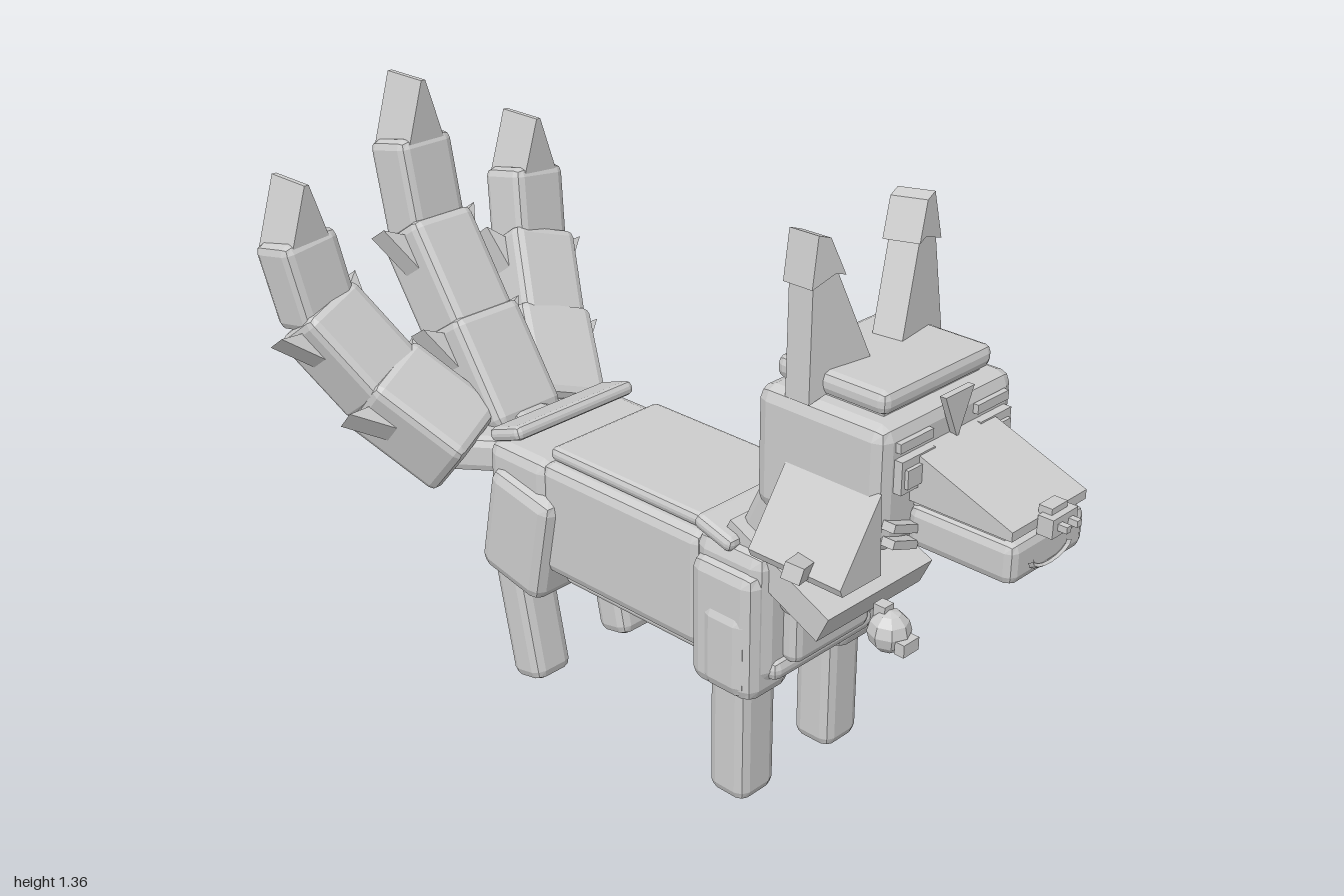
import * as THREE from 'three';
import { RoundedBoxGeometry } from 'three/addons/geometries/RoundedBoxGeometry.js';

const fur = new THREE.MeshStandardMaterial({ color: 0xcccccc });
fur.name = 'plain grey';

export function createModel() {
  const model = new THREE.Group();
  model.name = 'threeTailedFox';

  const add = (name, geometry, parent = model) => {
    const flat = geometry.index ? geometry.toNonIndexed() : geometry;
    flat.computeVertexNormals();
    const mesh = new THREE.Mesh(flat, fur);
    mesh.name = name;
    parent.add(mesh);
    return mesh;
  };
  // Chamfered block: centre, size, tilt about x, chamfer width
  const block = (name, [x, y, z], [w, h, d], tilt = 0, bevel = 0.02, parent = model) => {
    const r = Math.min(bevel, Math.min(w, h, d) * 0.4);
    const geo = bevel > 0 ? new RoundedBoxGeometry(w, h, d, 1, r) : new THREE.BoxGeometry(w, h, d);
    const mesh = add(name, geo, parent);
    mesh.position.set(x, y, z);
    mesh.rotation.x = tilt;
    return mesh;
  };
  // Outline in x and y, extruded along z and centred on it
  const prism = (points, depth) => {
    const shape = new THREE.Shape(points.map(([x, y]) => new THREE.Vector2(x, y)));
    return new THREE.ExtrudeGeometry(shape, { depth, bevelEnabled: false }).translate(0, 0, -depth / 2);
  };
  const mirror = (points, s) => points.map(([x, y]) => [x * s, y]);

  // Trunk
  block('body', [0, 0.485, -0.03], [0.39, 0.28, 0.5], 0, 0.025);
  block('backPlate', [0, 0.642, -0.035], [0.34, 0.034, 0.47], 0, 0.014);
  block('bellyPlate', [0, 0.333, -0.005], [0.33, 0.028, 0.46], 0, 0.01);
  block('chest', [0, 0.48, 0.3], [0.39, 0.32, 0.2], 0, 0.035);
  block('chestPlate', [0, 0.485, 0.405], [0.25, 0.24, 0.065], 0, 0.02);
  block('chestBar', [0, 0.355, 0.39], [0.33, 0.05, 0.05], 0, 0.02);
  block('withersPlate', [0, 0.65, 0.26], [0.4, 0.035, 0.11], 0.28, 0.014);
  block('hips', [0, 0.525, -0.355], [0.4, 0.2, 0.2], 0, 0.03);
  block('rumpPlate', [0, 0.645, -0.41], [0.37, 0.035, 0.11], -0.35, 0.014);

  // Legs
  for (const s of [1, -1]) {
    block('shoulder', [s * 0.152, 0.395, 0.31], [0.145, 0.21, 0.13], 0, 0.03);
    block('upperFrontLeg', [s * 0.148, 0.44, 0.3], [0.14, 0.31, 0.18], 0, 0.03);
    block('frontLeg', [s * 0.143, 0.2, 0.303], [0.112, 0.39, 0.107], 0, 0.025);
    block('thigh', [s * 0.15, 0.418, -0.35], [0.148, 0.28, 0.205], 0.2, 0.03);
    block('backLeg', [s * 0.143, 0.19, -0.385], [0.112, 0.36, 0.1], -0.2, 0.025);
  }

  // Neck, collar and bell
  block('neck', [0, 0.69, 0.41], [0.28, 0.36, 0.21], 0.44, 0.02);
  block('collar', [0, 0.587, 0.407], [0.34, 0.07, 0.3], 0.44, 0);
  const bell = add('bell', new THREE.SphereGeometry(0.048, 8, 6));
  bell.position.set(0, 0.467, 0.583);
  block('bellClapper', [0, 0.45, 0.63], [0.05, 0.03, 0.025], 0, 0);
  block('bellHook', [0, 0.51, 0.565], [0.03, 0.03, 0.03], 0, 0);

  // Head
  const head = new THREE.Group();
  head.name = 'head';
  model.add(head);
  block('skull', [0, 0.902, 0.543], [0.414, 0.27, 0.325], 0, 0.03, head);
  block('headband', [0, 1.068, 0.538], [0.34, 0.05, 0.275], 0, 0.018, head);
  block('headbandBase', [0, 1.04, 0.538], [0.3, 0.03, 0.24], 0, 0, head);
  const forehead = add('foreheadMark', prism([[-0.045, 1.06], [0, 0.96], [0.045, 1.06]], 0.015), head);
  forehead.position.z = 0.715;

  // Muzzle, sloping forward from the brow
  add('muzzle', prism([[0.7, 0.865], [0.945, 0.865], [0.945, 0.885], [0.715, 0.97], [0.7, 0.97]], 0.24)
    .rotateY(-Math.PI / 2), head);
  block('jaw', [0, 0.81, 0.825], [0.24, 0.09, 0.25], 0, 0.02, head);
  block('mouthGap', [0, 0.86, 0.81], [0.21, 0.02, 0.22], 0, 0, head);
  block('nose', [0, 0.872, 0.962], [0.08, 0.04, 0.035], 0, 0, head);
  block('noseTop', [0, 0.894, 0.95], [0.05, 0.022, 0.03], 0, 0, head);
  const smile = add('smile', new THREE.TorusGeometry(0.063, 0.009, 4, 8, Math.PI).rotateZ(Math.PI), head);
  smile.scale.set(1, 0.4, 0.6);
  smile.position.set(0, 0.805, 0.953);

  const ear = [[0.215, 1.03], [0.195, 1.28], [0.175, 1.34], [0.155, 1.33], [0.05, 1.075]];
  const earTip = [[0.205, 1.26], [0.185, 1.362], [0.155, 1.352], [0.12, 1.272], [0.145, 1.28]];
  const cheek = [[0.2, 0.905], [0.312, 0.742], [0.305, 0.725], [0.19, 0.725]];
  for (const s of [1, -1]) {
    // Ears lean back a little and turn slightly outward
    const ears = new THREE.Group();
    ears.name = 'ear';
    ears.rotation.set(-0.08, s * 0.15, 0, 'YXZ');
    ears.position.set(0.002 * s, 0.004, 0.6);
    add('earBlade', prism(mirror(ear, s), 0.07), ears);
    add('earTip', prism(mirror(earTip, s), 0.085), ears);
    head.add(ears);

    const ruff = add('cheek', prism(mirror(cheek, s), 0.235), head);
    ruff.position.z = 0.583;
    const tuft = block('cheekTuft', [s * 0.32, 0.757, 0.605], [0.08, 0.035, 0.04], 0, 0, head);
    tuft.rotation.set(0.2, -s * 0.3, s * 0.3);

    // Framed eyes
    block('eye', [s * 0.122, 0.935, 0.712], [0.1, 0.07, 0.025], 0, 0, head);
    block('pupil', [s * 0.14, 0.932, 0.728], [0.045, 0.04, 0.009], 0, 0, head);
    block('brow', [s * 0.12, 0.995, 0.71], [0.1, 0.02, 0.015], 0, 0, head);
    block('nostril', [s * 0.017, 0.872, 0.985], [0.014, 0.014, 0.03], 0, 0, head);
    for (const y of [0.79, 0.825]) {
      const whisker = block('whisker', [s * 0.155, y, 0.715], [0.08, 0.018, 0.03], 0, 0, head);
      whisker.rotation.z = s * 0.35;
    }
  }

  // Tails: blocks strung along a path, with side tufts and a wedge tip
  const tail = (name, path, tipHeight, lean) => {
    const group = new THREE.Group();
    group.name = name;
    model.add(group);
    const pts = path.map((p) => new THREE.Vector3(...p));
    const sizes = [[0.11, 0.09], [0.2, 0.19], [0.18, 0.17], [0.155, 0.135]];
    sizes.forEach(([w, d], i) => {
      const dir = pts[i + 1].clone().sub(pts[i]);
      const length = dir.length() + (i ? 0.03 : 0.06);
      const y = dir.normalize();
      const x = new THREE.Vector3(1, 0, 0).addScaledVector(y, -y.x).normalize();
      const z = x.clone().cross(y);
      const part = new THREE.Group();
      part.name = i ? 'tailSegment' : 'tailRoot';
      part.position.copy(pts[i]).lerp(pts[i + 1], 0.5);
      part.quaternion.setFromRotationMatrix(new THREE.Matrix4().makeBasis(x, y, z));
      group.add(part);
      block('tailBlock', [0, 0, 0], [w, length, d], 0, 0.022, part);
      if (i === 1 || i === 2) {
        const tuft = [[w / 2 - 0.02, -0.01], [w / 2 + 0.05, length * 0.52], [w / 2 - 0.02, length * 0.4]];
        for (const s of [1, -1]) add('tailTuft', prism(mirror(tuft, s), 0.06), part);
      }
    });
    const end = pts[4];
    const tip = add('tailTip', prism([[-0.062, -0.02], [0.062, -0.02], [0.006, tipHeight], [-0.006, tipHeight]], 0.125), group);
    tip.position.copy(end);
    tip.rotation.z = lean;
  };
  tail('centreTail', [[0, 0.58, -0.45], [0, 0.56, -0.6], [0, 0.77, -0.74], [0, 0.98, -0.88], [0, 1.19, -0.922]], 0.16, 0);
  for (const s of [1, -1]) {
    tail('sideTail', [[s * 0.06, 0.55, -0.45], [s * 0.15, 0.54, -0.6], [s * 0.25, 0.68, -0.76],
      [s * 0.33, 0.85, -0.885], [s * 0.352, 1.03, -0.92]], 0.15, 0);
  }
  return model;
}
